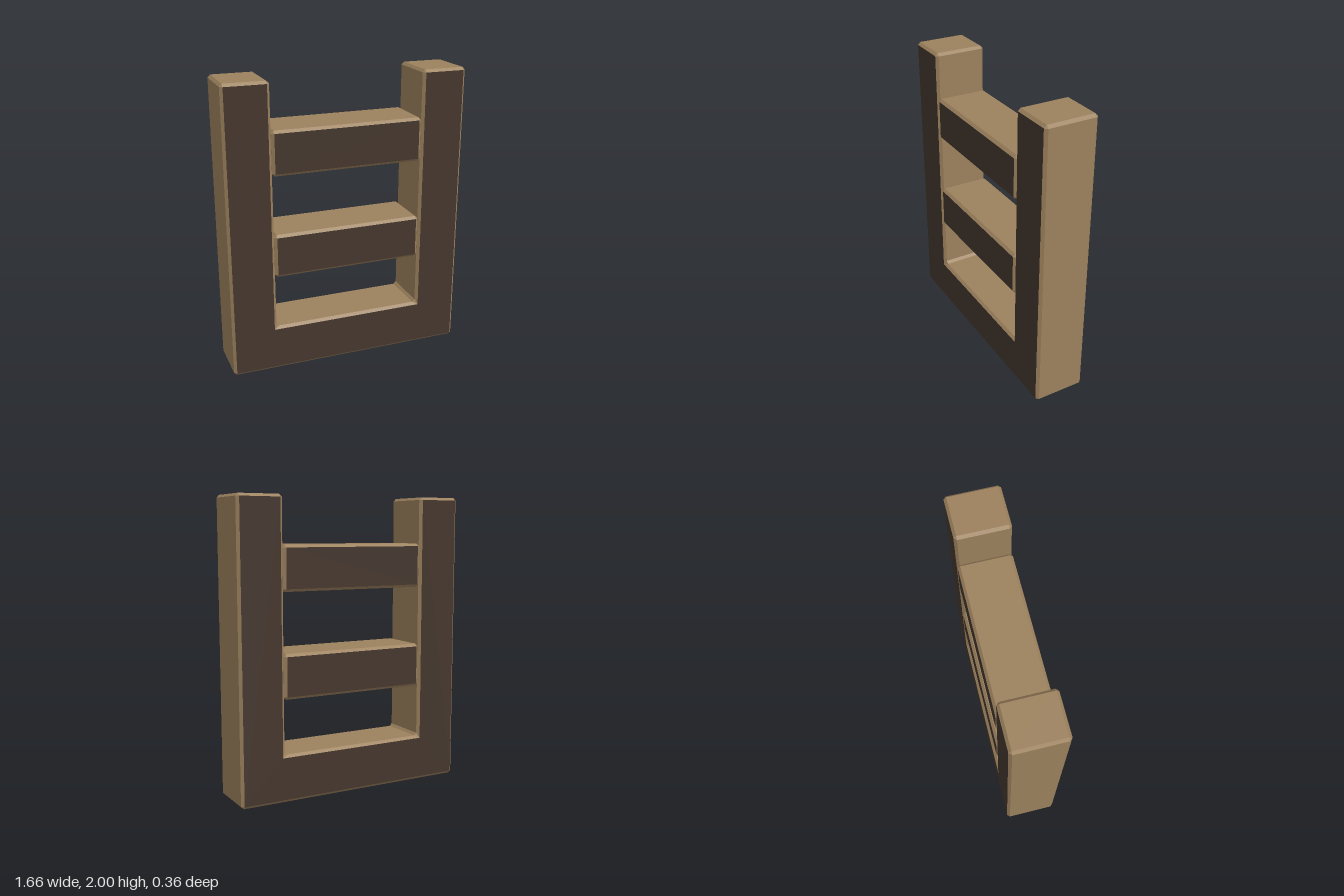
import * as THREE from 'three';

const B = 0.018;      // bevel width
const DEPTH = 0.18;   // half thickness
const wood = new THREE.MeshStandardMaterial({ color: 0x9c815d, flatShading: true });
const dark = new THREE.MeshStandardMaterial({ color: 0x44362d, flatShading: true });

function mesh(name, positions, material) {
  const g = new THREE.BufferGeometry();
  g.setAttribute('position', new THREE.Float32BufferAttribute(positions, 3));
  g.computeVertexNormals();
  const m = new THREE.Mesh(g, material);
  m.name = name;
  return m;
}

// Thick bevelled plate from a counterclockwise outline of its flat front face
function bevelledPlate(name, outline) {
  const pts = outline.map(([x, y]) => new THREE.Vector2(x, y));
  const n = pts.length;
  const normals = pts.map((p, i) => {
    const d = pts[(i + 1) % n].clone().sub(p).normalize();
    return new THREE.Vector2(d.y, -d.x);
  });

  // each corner splits in two on the side wall, giving a chamfer
  const corners = pts.map((f, i) => {
    const a = normals[(i + n - 1) % n], c = normals[i];
    const k = a.cross(c) > 0 ? 0 : 2 * B;
    return {
      f,
      into: f.clone().addScaledVector(a, B).addScaledVector(c, k),
      out: f.clone().addScaledVector(c, B).addScaledVector(a, k),
    };
  });

  const sides = [], faces = [];
  const h = DEPTH - B;
  const at = (p, z) => [p.x, p.y, z];
  const poly = (list, v) => {
    for (let i = 1; i < v.length - 1; i++) list.push(...v[0], ...v[i], ...v[i + 1]);
  };
  // adds a polygon and its mirror image on the back
  const both = (list, v) => {
    poly(list, v);
    poly(list, v.map(([x, y, z]) => [x, y, -z]).reverse());
  };
  const wall = (p, q) => poly(sides, [at(p, h), at(p, -h), at(q, -h), at(q, h)]);

  corners.forEach((c, i) => {
    const d = corners[(i + 1) % n];
    both(sides, [at(c.f, DEPTH), at(c.out, h), at(d.into, h), at(d.f, DEPTH)]);
    both(sides, [at(c.f, DEPTH), at(c.into, h), at(c.out, h)]);
    wall(c.out, d.into);
    wall(c.into, c.out);
  });
  for (const t of THREE.ShapeUtils.triangulateShape(pts, [])) {
    both(faces, t.map(i => at(pts[i], DEPTH)));
  }

  const group = new THREE.Group();
  group.name = name;
  group.add(mesh(name + 'Sides', sides, wood), mesh(name + 'Faces', faces, dark));
  return group;
}

export function createModel() {
  const model = new THREE.Group();
  model.name = 'woodenRack';

  // U-shaped frame: two posts joined by a base beam
  const X = 0.83 - B, inner = 0.52 + B, top = 2 - B, floor = 0.32 - B;
  model.add(bevelledPlate('frame', [
    [-X, B], [X, B], [X, top], [inner, top],
    [inner, floor], [-inner, floor], [-inner, top], [-X, top],
  ]));

  // Crossbars between the posts
  const bx = 0.519 - B, by = 0.15 - B;
  [['lowerCrossbar', 0.835], ['upperCrossbar', 1.535]].forEach(([name, y]) => {
    const bar = bevelledPlate(name, [[-bx, -by], [bx, -by], [bx, by], [-bx, by]]);
    bar.position.y = y;
    model.add(bar);
  });
  return model;
}
